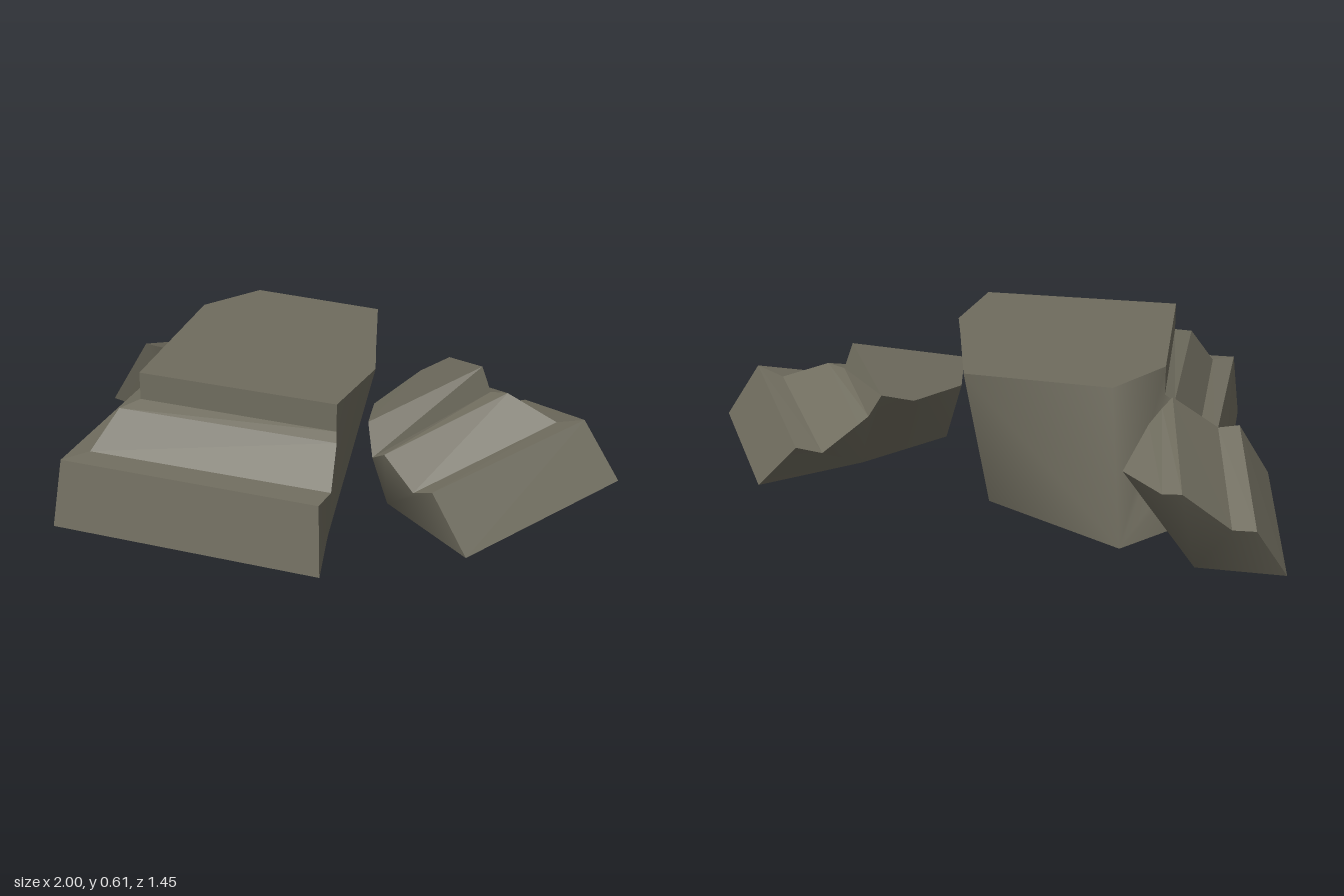
import * as THREE from 'three';
import { mergeVertices } from 'three/addons/utils/BufferGeometryUtils.js';

const stone = new THREE.MeshStandardMaterial({ color: 0x6f6c5e, side: THREE.DoubleSide });
stone.name = 'weathered stone';

function toGeometry(pos, smooth) {
  let g = new THREE.BufferGeometry();
  g.setAttribute('position', new THREE.Float32BufferAttribute(pos, 3));
  if (smooth) g = mergeVertices(g);
  g.computeVertexNormals();
  return g;
}

// Flat faces between neighbouring profiles, each listed from bottom to top
function mouldedFaces(profiles) {
  const pos = [];
  for (let i = 0; i < profiles.length - 1; i++) {
    const l = profiles[i], r = profiles[i + 1];
    for (let j = 0; j < l.length - 1; j++) {
      pos.push(...l[j], ...r[j], ...r[j + 1], ...l[j], ...r[j + 1], ...l[j + 1]);
    }
  }
  return toGeometry(pos, false);
}

// Smooth broken wall: fans close the two end profiles, with large facets between
function fractureWall(start, breaks, end) {
  const pos = [];
  const [firstBottom, firstTop] = breaks[0];
  const [lastBottom, lastTop] = breaks[breaks.length - 1];
  const fan = (centre, rim) => {
    for (let j = 0; j < rim.length - 1; j++) pos.push(...centre, ...rim[j], ...rim[j + 1]);
  };
  fan(firstBottom, [firstTop, ...start.slice().reverse()]);
  for (let i = 0; i < breaks.length - 1; i++) {
    const [lb, lt] = breaks[i], [rb, rt] = breaks[i + 1];
    pos.push(...lb, ...rb, ...lt, ...rb, ...rt, ...lt);
  }
  fan(lastBottom, [...end, lastTop]);
  return toGeometry(pos, true);
}

// Flat top over the upper ends of all columns
function lid(points) {
  const pos = [];
  for (let i = 1; i < points.length - 1; i++) pos.push(...points[0], ...points[i], ...points[i + 1]);
  return toGeometry(pos, false);
}

// A broken piece: moulded faces, fracture wall, flat top, open underside
function fragment(name, profiles, breaks) {
  const group = new THREE.Group();
  group.name = name;
  const add = (part, geometry) => {
    const mesh = new THREE.Mesh(geometry, stone);
    mesh.name = part;
    group.add(mesh);
  };
  add('mouldedFaces', mouldedFaces(profiles));
  add('fractureWall', fractureWall(profiles[profiles.length - 1], breaks, profiles[0]));
  add('topFace', lid([...profiles, ...breaks].map((c) => c[c.length - 1])));
  return group;
}

export function createModel() {
  const model = new THREE.Group();
  model.name = 'brokenPedestal';

  // Large corner piece: left end, corner and right end of the stepped moulding
  const levels = [0.11, 0.345, 0.355, 0.49, 0.51, 0.605];
  const profile = (xz) => xz.map(([x, z], i) => [x, levels[i], z]);
  model.add(fragment('cornerBlock', [
    profile([[-0.69, -0.06], [-0.66, -0.08], [-0.61, -0.10], [-0.54, -0.13], [-0.51, -0.14], [-0.51, -0.14]]),
    profile([[-0.41, 0.725], [-0.40, 0.68], [-0.355, 0.59], [-0.31, 0.49], [-0.275, 0.425], [-0.275, 0.425]]),
    profile([[0.465, 0.405], [0.435, 0.375], [0.425, 0.30], [0.39, 0.23], [0.365, 0.20], [0.365, 0.20]]),
  ], [
    [[0.33, 0.11, 0.19], [0.30, 0.605, -0.09]],
    [[0.18, 0.11, -0.07], [0.22, 0.605, -0.20]],
    [[0.0, 0.11, -0.38], [0.0, 0.605, -0.51]],
    [[-0.52, 0.11, -0.45], [-0.45, 0.605, -0.38]],
  ]));

  // Tilted corner piece on the left side
  model.add(fragment('leftFragment', [
    [[0.73, 0.08, -0.025], [0.60, 0.285, -0.005], [0.53, 0.26, 0.0], [0.41, 0.36, 0.0], [0.37, 0.34, 0.01], [0.32, 0.44, -0.03]],
    [[1.0, 0.255, -0.51], [0.87, 0.45, -0.48], [0.78, 0.42, -0.46], [0.61, 0.49, -0.42], [0.55, 0.48, -0.41], [0.52, 0.57, -0.395]],
    [[0.69, 0.14, -0.72], [0.51, 0.32, -0.725], [0.44, 0.30, -0.68], [0.35, 0.39, -0.60], [0.34, 0.405, -0.56], [0.29, 0.485, -0.55]],
  ], [
    [[0.52, 0.125, -0.38], [0.23, 0.447, -0.46]],
    [[0.38, 0.135, -0.07], [0.22, 0.412, -0.20]],
  ]));

  // Small tilted edge piece on the right side
  model.add(fragment('rightFragment', [
    [[-1.0, 0.065, -0.27], [-0.94, 0.255, -0.39], [-0.87, 0.25, -0.41], [-0.75, 0.38, -0.51], [-0.69, 0.37, -0.52]],
    [[-0.79, 0.22, 0.07], [-0.73, 0.42, -0.05], [-0.67, 0.41, -0.08], [-0.56, 0.53, -0.19], [-0.54, 0.50, -0.22]],
  ], [
    [[-0.68, 0.01, -0.25], [-0.52, 0.46, -0.27]],
    [[-0.69, 0.0, -0.26], [-0.52, 0.37, -0.44]],
  ]));

  return model;
}
